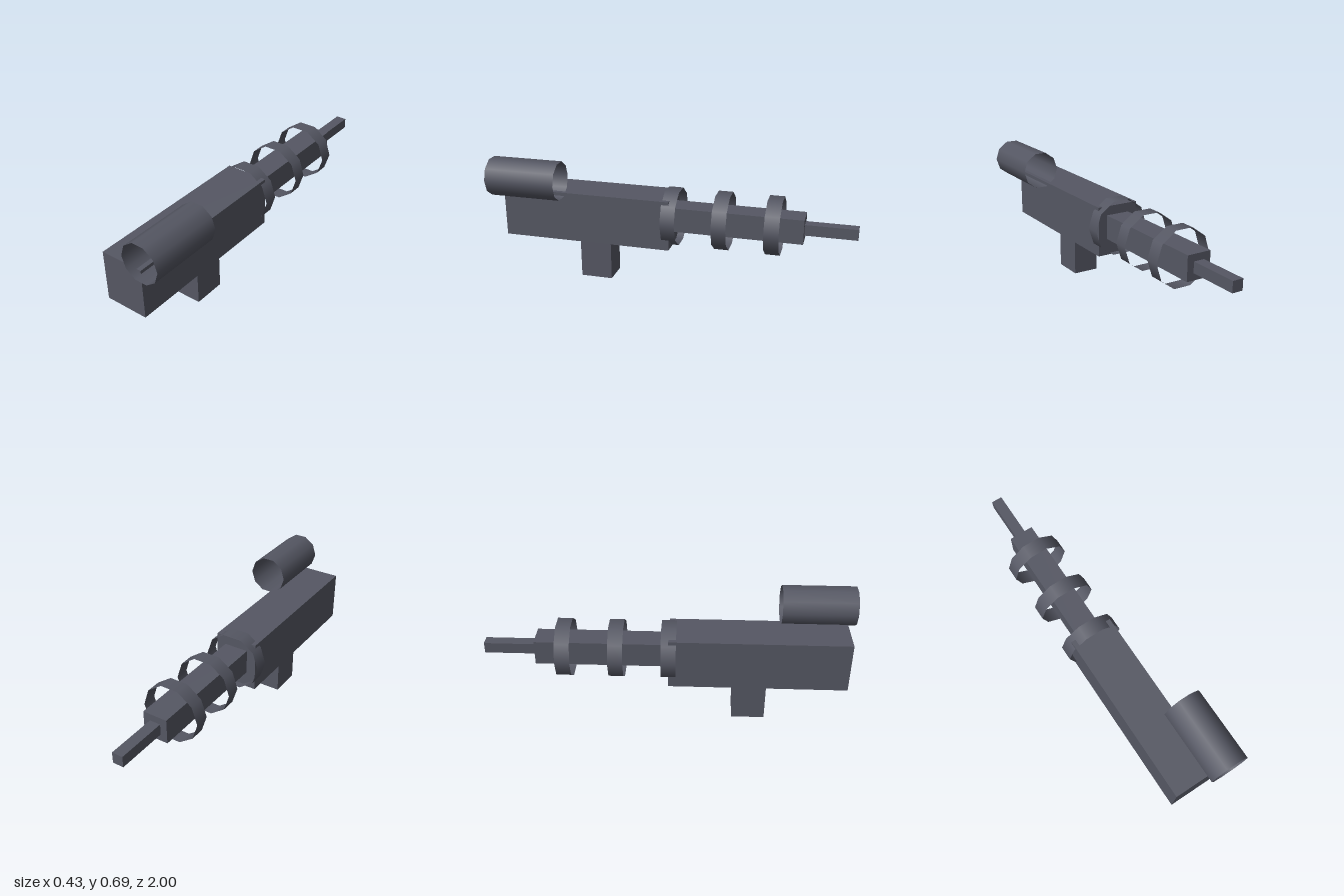
import * as THREE from 'three';

export function createModel() {
  const group = new THREE.Group();
  const gunmetal = new THREE.MeshStandardMaterial({ color: 0x555763, side: THREE.DoubleSide });
  gunmetal.name = 'gunmetal';

  const add = (name, geometry, x, y, z) => {
    const mesh = new THREE.Mesh(geometry, gunmetal);
    mesh.name = name;
    mesh.position.set(x, y, z);
    group.add(mesh);
  };
  const box = (name, w, h, d, x, y, z) => add(name, new THREE.BoxGeometry(w, h, d), x, y, z);

  // Open ten-sided sleeve along z, with corners on the x axis
  const sleeve = (name, radius, length, x, y, z) => {
    const geometry = new THREE.CylinderGeometry(radius, radius, length, 10, 1, true, Math.PI / 2);
    add(name, geometry.rotateX(Math.PI / 2), x, y, z);
  };

  const axisX = -0.055;
  const axisY = 0.392;

  // Body and grip
  box('body', 0.24, 0.28, 0.96, axisX, 0.371, 0.48);
  box('grip', 0.15, 0.231, 0.18, axisX, 0.1155, 0.44);

  // Barrel and its thin tip
  box('barrel', 0.136, 0.136, 0.72, axisX, axisY, -0.36);
  box('barrelTip', 0.06, 0.06, 0.28, axisX, axisY, -0.86);

  // Hollow rings around the barrel
  for (let i = 0; i < 3; i++) sleeve('barrelRing' + (i + 1), 0.16, 0.08, axisX, axisY, -0.28 * i);

  // Hollow sight tube, offset to the left edge of the body
  sleeve('sightTube', 0.108, 0.4, 0.103, 0.592, 0.8);

  return group;
}
